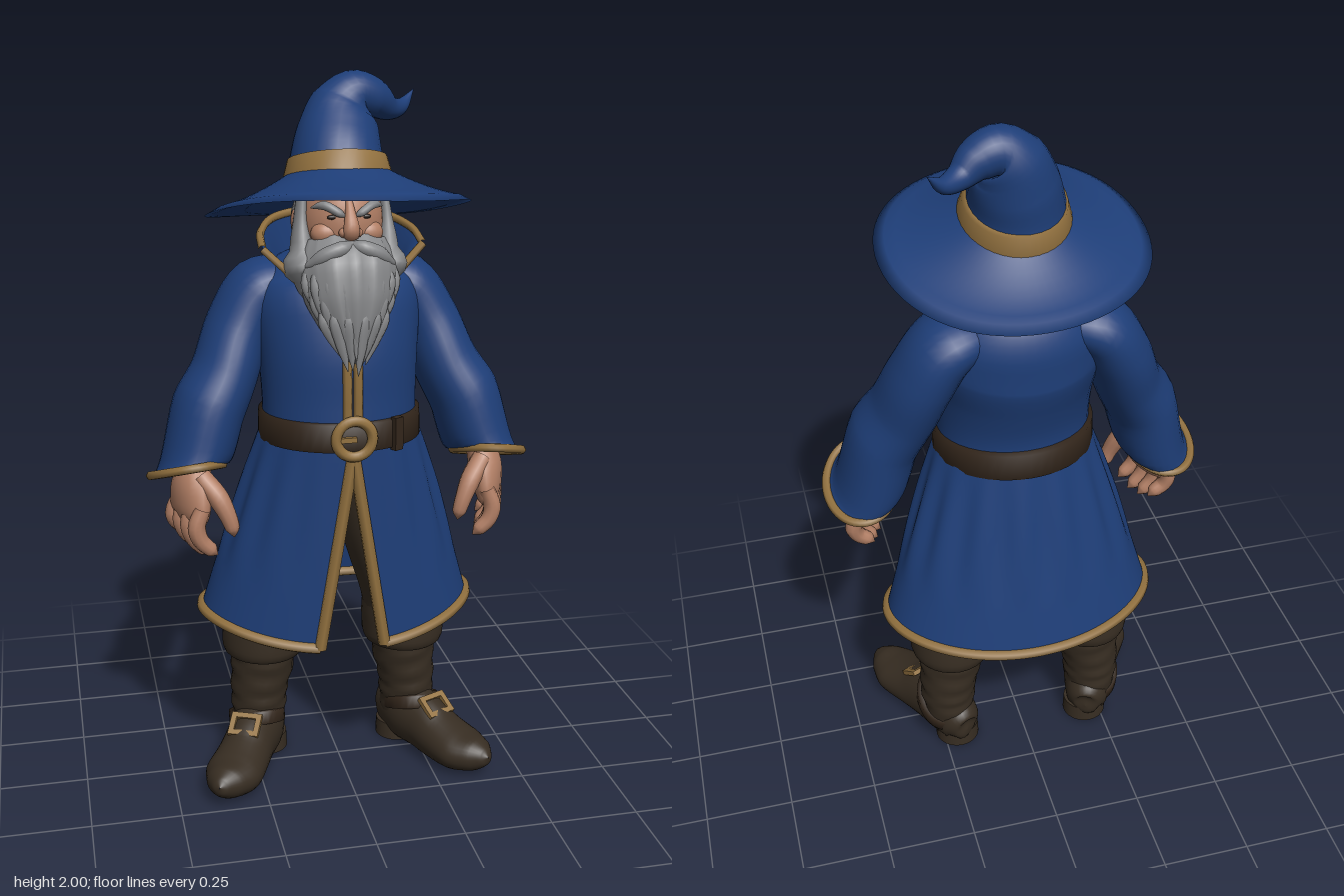
import * as THREE from 'three';
import { mergeVertices } from 'three/addons/utils/BufferGeometryUtils.js';

const V = (x, y, z) => new THREE.Vector3(x, y, z);
const lerp = THREE.MathUtils.lerp, smooth = THREE.MathUtils.smoothstep;
const Y = V(0, 1, 0), Z = V(0, 0, 1);

const mat = (name, color, side = THREE.FrontSide) => {
  const m = new THREE.MeshStandardMaterial({ color, side });
  m.name = name;
  return m;
};

export function createModel() {
  const model = new THREE.Group();
  model.name = 'wizard';
  const blue = mat('blue cloth', 0x1e3e78, THREE.DoubleSide);
  const gold = mat('gold trim', 0x92713f);
  const boot = mat('boot leather', 0x372d22);
  const leather = mat('belt leather', 0x33261b);
  const skin = mat('skin', 0xb27f65);
  const grey = mat('grey hair', 0x87888a);
  const dark = mat('dark eye', 0x241c18);

  const add = (name, geo, material) => {
    const mesh = new THREE.Mesh(geo, material);
    mesh.name = name;
    model.add(mesh);
    return mesh;
  };

  // Smooth surface from a function of (u around, v along)
  const surf = (f, nu, nv) => {
    const pos = [], idx = [];
    for (let j = 0; j <= nv; j++) for (let i = 0; i <= nu; i++) pos.push(...f(i / nu, j / nv).toArray());
    for (let j = 0; j < nv; j++) for (let i = 0; i < nu; i++) {
      const a = j * (nu + 1) + i, b = a + nu + 1;
      idx.push(a, b, a + 1, b, b + 1, a + 1);
    }
    let g = new THREE.BufferGeometry();
    g.setAttribute('position', new THREE.Float32BufferAttribute(pos, 3));
    g.setIndex(idx);
    g = mergeVertices(g, 1e-5);
    g.computeVertexNormals();
    return g;
  };

  // Elliptical sections [x, y, z, radiusA, radiusB] swept along a curve
  const sweep = (secs, ref = Z, warp = p => p) => {
    const c = new THREE.CatmullRomCurve3(secs.map(s => V(s[0], s[1], s[2])));
    const r = new THREE.CatmullRomCurve3(secs.map(s => V(s[3], s[4] ?? s[3], 0)));
    return (u, v) => {
      const T = c.getTangent(v), k = r.getPoint(v), a = u * Math.PI * 2;
      const B = ref.clone().addScaledVector(T, -ref.dot(T)).normalize();
      const A = T.clone().cross(B);
      const p = c.getPoint(v).addScaledVector(A, k.x * Math.cos(a)).addScaledVector(B, k.y * Math.sin(a));
      return warp(p, v, a);
    };
  };
  const limb = (name, secs, m, sides = 20, rows = 4, ref = Z, warp) =>
    add(name, surf(sweep(secs, ref, warp), sides, (secs.length - 1) * rows), m);
  const side = (secs, s) => secs.map(([x, ...rest]) => [x * s, ...rest]);

  // Rounded edging along a line of points
  const trim = (name, f, n = 40, r = 0.013, closed = false) => {
    const pts = Array.from({ length: closed ? n : n + 1 }, (_, i) => f(i / n));
    add(name, new THREE.TubeGeometry(new THREE.CatmullRomCurve3(pts, closed), n * 2, r, 6, closed), gold);
  };

  // Hat: curled crown, band, tilted brim
  limb('hatCrown', [[0, 1.70, -0.002, 0.147, 0.16], [0, 1.77, -0.022, 0.126, 0.138], [0.012, 1.84, -0.052, 0.112, 0.112],
    [0.03, 1.9, -0.075, 0.093, 0.084], [0.06, 1.937, -0.083, 0.065], [0.115, 1.925, -0.095, 0.054],
    [0.165, 1.897, -0.12, 0.034], [0.21, 1.898, -0.155, 0.022], [0.255, 1.94, -0.19, 0.001]], blue, 28, 5);
  limb('hatBand', [[0, 1.714, -0.007, 0.14, 0.15], [0, 1.715, -0.0073, 0.15, 0.164], [0.002, 1.775, -0.024, 0.133, 0.145],
    [0.002, 1.776, -0.0243, 0.12, 0.13]], gold, 40, 1);
  add('hatBrim', surf((u, v) => {
    const a = u * Math.PI * 2, t = 1 - Math.abs(2 * v - 1), s = Math.sin(a);
    const wave = 0.006 * Math.sin(3 * a + 1) * t;
    const y = lerp(1.65 + 0.073 * s, 1.735 + 0.036 * s, (1 - t) ** 1.6) + wave + (v > 0.5 ? 0.006 : -0.006);
    return V(lerp(0.13, 0.358, t) * Math.cos(a), y, lerp(-0.012, 0, t) + lerp(0.13, 0.345, t) * s);
  }, 64, 16), blue);

  // Head and face
  const ball = (name, m, x, y, z, rx, ry, rz) => {
    const b = add(name, new THREE.SphereGeometry(1, 24, 16), m);
    b.position.set(x, y, z);
    b.scale.set(rx, ry, rz);
  };
  ball('head', skin, 0, 1.62, 0.03, 0.115, 0.14, 0.12);
  ball('backHair', grey, 0, 1.61, -0.025, 0.125, 0.13, 0.11);
  limb('neck', [[0, 1.4, -0.04, 0.085], [0, 1.5, -0.02, 0.08], [0, 1.58, 0, 0.08]], skin);
  limb('nose', [[0, 1.69, 0.13, 0.008], [0, 1.655, 0.15, 0.014], [0, 1.615, 0.166, 0.022, 0.02],
    [0, 1.595, 0.162, 0.02, 0.014], [0, 1.588, 0.155, 0.001]], skin, 14);
  for (const s of [1, -1]) {
    ball('cheek', skin, s * 0.055, 1.597, 0.108, 0.042, 0.034, 0.034);
    ball('nostril', skin, s * 0.018, 1.605, 0.155, 0.014, 0.013, 0.015);
    ball('eye', dark, s * 0.045, 1.643, 0.136, 0.014, 0.006, 0.006);
    ball('ear', skin, s * 0.12, 1.62, 0.025, 0.014, 0.033, 0.022);
    limb('eyebrow', side([[0.012, 1.645, 0.15, 0.002], [0.03, 1.656, 0.152, 0.011], [0.065, 1.674, 0.135, 0.012],
      [0.095, 1.665, 0.105, 0.002]], s), grey, 10);
    limb('sideburn', side([[0.108, 1.71, 0.05, 0.012, 0.025], [0.115, 1.63, 0.06, 0.018, 0.032],
      [0.115, 1.55, 0.075, 0.032, 0.045], [0.108, 1.47, 0.095, 0.032, 0.045], [0.09, 1.39, 0.125, 0.001]], s), grey, 12);
    limb('moustache', side([[0, 1.573, 0.165, 0.012], [0.03, 1.567, 0.18, 0.021], [0.07, 1.55, 0.175, 0.022],
      [0.105, 1.525, 0.155, 0.014], [0.13, 1.515, 0.14, 0.001]], s), grey, 12);
  }

  // Beard: full core with overlapping tapered locks
  limb('beard', [[0, 1.575, 0.09, 0.105, 0.06], [0, 1.5, 0.125, 0.128, 0.098], [0, 1.43, 0.15, 0.118, 0.09],
    [0, 1.36, 0.17, 0.082, 0.068], [0, 1.3, 0.185, 0.042, 0.04], [0, 1.265, 0.195, 0.001]], grey, 48, 4, Z,
  (p, v, a) => p.add(V(Math.cos(a), 0, Math.sin(a)).multiplyScalar(0.005 * Math.cos(12 * a))));
  for (let row = 0; row < 3; row++) for (let i = 0; i < 8 - row; i++) {
    const k = (i - (7 - row) / 2) / 3.5, a = k * 1.3, y = 1.53 - row * 0.05;
    const tip = y - 0.14 - 0.045 * (1 - Math.abs(k)) - 0.015 * (i % 2);
    const at = (h, w, r) => [Math.sin(a) * w, h, 0.132 + (1.5 - h) * 0.25 + Math.cos(a) * w * 0.66, r, r * 0.65];
    limb('beardLock', [at(y, 0.1, 0.006), at(y - 0.05, 0.118 - row * 0.012, 0.02),
      at((y + tip) / 2 - 0.02, 0.106 - row * 0.02, 0.017), at(tip, 0.085 - row * 0.024, 0.001)], grey, 8);
  }

  // Coat body
  limb('coatBody', [[0, 1.03, 0.01, 0.215, 0.18], [0, 1.12, 0.01, 0.215, 0.177], [0, 1.25, -0.005, 0.222, 0.19],
    [0, 1.36, -0.035, 0.235, 0.193], [0, 1.44, -0.06, 0.222, 0.165], [0, 1.505, -0.065, 0.165, 0.125],
    [0, 1.53, -0.065, 0.1, 0.09]], blue, 40, 5);
  for (const s of [1, -1]) trim('frontTrim', t => V(s * 0.0145, lerp(1.03, 1.36, t),
    [0.19, 0.187, 0.187, 0.18, 0.158][Math.round(t * 4)]), 4);

  // Collar: flared and open at the front
  const mirrored = half => new THREE.CatmullRomCurve3([
    ...half.map(([x, y, z]) => V(-x, y, z)), ...half.slice(0, -1).reverse().map(p => V(...p))]);
  const low = mirrored([[0.085, 1.43, 0.115], [0.155, 1.475, 0], [0.12, 1.49, -0.13], [0, 1.5, -0.175]]);
  const high = mirrored([[0.218, 1.555, 0.07], [0.208, 1.585, -0.02], [0.145, 1.61, -0.13], [0, 1.62, -0.178]]);
  const collar = (u, v) => low.getPoint(u).lerp(high.getPoint(u), v);
  add('collar', surf(collar, 36, 6), blue);
  trim('collarTrim', t => collar(t, 1), 24, 0.011);
  for (const u of [0, 1]) trim('collarFrontTrim', t => collar(u, t), 6, 0.011);

  // Skirt: flared, pleated and split at the front
  const skirt = (u, v) => {
    const rx = lerp(0.213, 0.392, v ** 0.92), rz = lerp(0.185, 0.242, v);
    const gap = Math.asin(0.1 * Math.max(0, v - 0.08) / rx);
    const a = lerp(gap, Math.PI * 2 - gap, u), c = Math.cos(a);
    const fold = 1 + 0.025 * Math.sin(Math.PI * Math.min(1, v * 1.3)) * Math.sin(15 * a) * (1 - Math.max(0, c) ** 4);
    const hem = 0.503 - (c > 0 ? 0.062 : 0.035) * c * c;
    return V(rx * Math.sin(a) * fold, lerp(1.07, hem, v), lerp(0.01, -0.044, v) + rz * c * fold);
  };
  add('skirt', surf(skirt, 120, 16), blue);
  trim('hemTrim', t => skirt(t, 1), 60, 0.016);
  for (const u of [0, 1]) trim('skirtFrontTrim', t => skirt(u, lerp(0.1, 1, t)), 12, 0.018);

  // Belt with round buckle
  limb('belt', [[0, 1.02, 0.01, 0.2, 0.17], [0, 1.022, 0.01, 0.228, 0.199], [0, 1.098, 0.01, 0.226, 0.197],
    [0, 1.1, 0.01, 0.2, 0.17]], leather, 48, 1);
  add('beltBuckle', new THREE.TorusGeometry(0.05, 0.015, 8, 32), gold).position.set(0, 1.06, 0.21);
  const prong = add('bucklePin', new THREE.BoxGeometry(0.06, 0.014, 0.012), gold);
  prong.position.set(-0.025, 1.06, 0.214);
  const keeper = add('beltKeeper', new THREE.BoxGeometry(0.028, 0.092, 0.02), leather);
  keeper.position.set(0.125, 1.06, 0.179);
  keeper.rotation.y = 0.5;

  for (const s of [1, -1]) {
    // Sleeve widening to a slanted cuff
    const sleeve = [[0.1, 1.45, -0.07, 0.055, 0.085], [0.205, 1.42, -0.085, 0.085, 0.118], [0.268, 1.32, -0.07, 0.09, 0.12],
      [0.315, 1.2, -0.03, 0.093, 0.122], [0.375, 1.09, 0.002, 0.103, 0.13], [0.432, 0.95, 0.025, 0.106, 0.132]];
    const cuff = (p, v) => {
      const plane = 0.945 + 0.35 * (p.z - 0.03) - 0.1 * (s * p.x - 0.43);
      p.y = lerp(p.y, plane, smooth(v, 0.75, 1));
      return p;
    };
    const f = sweep(side(sleeve, s), Z, cuff);
    add('sleeve', surf(f, 28, 30), blue);
    trim('cuffTrim', t => f(t, 1), 28, 0.013, true);

    // Hand, its back turned a little forward
    limb('palm', side([[0.39, 1.04, 0.01, 0.045, 0.05], [0.412, 0.96, 0.03, 0.044, 0.055], [0.422, 0.9, 0.045, 0.048, 0.08],
      [0.428, 0.845, 0.052, 0.04, 0.09], [0.43, 0.81, 0.052, 0.026, 0.075], [0.43, 0.798, 0.052, 0.001]], s),
    skin, 18, 4, V(-s * 0.4, 0, 1));
    for (let i = 0; i < 4; i++) {
      const z = 0.122 - i * 0.045, d = [0.012, 0, 0.008, 0.03][i], x = 0.402 + i * 0.016;
      limb('finger', side([[x, 0.86, z, 0.022], [x + 0.018, 0.81, z + 0.004, 0.025], [x + 0.008, 0.765 + d / 2, z + 0.006, 0.023],
        [x - 0.02, 0.73 + d, z + 0.005, 0.02], [x - 0.038, 0.714 + d, z + 0.004, 0.001]], s), skin, 10);
    }
    limb('thumb', side([[0.4, 0.94, 0.08, 0.028], [0.36, 0.89, 0.11, 0.029], [0.335, 0.84, 0.125, 0.024],
      [0.322, 0.8, 0.128, 0.02], [0.318, 0.775, 0.128, 0.001]], s), skin, 10);

    // Trouser leg, boot shaft and folded boot top
    limb('trouserLeg', side([[0.09, 1, -0.03, 0.1, 0.12], [0.125, 0.75, -0.035, 0.115, 0.12],
      [0.195, 0.52, -0.06, 0.115, 0.125], [0.21, 0.42, -0.065, 0.112, 0.122]], s), boot, 24);
    limb('bootTop', side([[0.212, 0.342, -0.068, 0.085, 0.095], [0.212, 0.345, -0.068, 0.114, 0.124],
      [0.212, 0.375, -0.067, 0.122, 0.134], [0.208, 0.44, -0.064, 0.12, 0.13], [0.2, 0.51, -0.06, 0.11, 0.12]], s), boot, 28);
    limb('bootShaft', side([[0.212, 0.38, -0.068, 0.1, 0.108], [0.215, 0.31, -0.07, 0.094, 0.1],
      [0.226, 0.22, -0.073, 0.084, 0.094], [0.228, 0.15, -0.075, 0.08, 0.09], [0.224, 0.06, -0.08, 0.068, 0.08]], s),
    boot, 24, 6, Z, (p, v, a) => p.add(V(Math.cos(a), 0, Math.sin(a)).multiplyScalar(0.003 * Math.sin(v * 34))));

    // Foot turned outward: flat ball, raised pointed toe, heel block
    limb('foot', side([[0.19, 0.07, -0.165, 0.001], [0.193, 0.07, -0.16, 0.035, 0.045], [0.203, 0.08, -0.135, 0.062, 0.075],
      [0.235, 0.09, -0.05, 0.076, 0.1], [0.27, 0.08, 0.02, 0.074, 0.09], [0.3, 0.066, 0.08, 0.078, 0.074],
      [0.34, 0.058, 0.155, 0.083, 0.06], [0.372, 0.064, 0.21, 0.056, 0.046], [0.388, 0.07, 0.24, 0.024, 0.024],
      [0.393, 0.074, 0.252, 0.001]], s), boot, 28, 5, Y, (p, v) => {
      p.y = Math.max(p.y, 0.014 - 0.011 * smooth(v, 0.45, 0.6));
      return p;
    });
    add('heel', new THREE.CylinderGeometry(0.064, 0.066, 0.05, 24), boot).position.set(s * 0.207, 0.025, -0.095);

    // Strap low at the heel and high on the instep, with its buckle
    limb('bootStrap', side([[0.238, 0.108, -0.05, 0.066, 0.09], [0.238, 0.109, -0.0504, 0.083, 0.112],
      [0.238, 0.142, -0.062, 0.083, 0.106], [0.238, 0.143, -0.0624, 0.066, 0.09]], s), leather, 28, 1);
    const rect = (w, h) => [[-w, -h], [w, -h], [w, h], [-w, h]].map(p => new THREE.Vector2(...p));
    const frame = new THREE.Shape(rect(0.045, 0.036));
    frame.holes.push(new THREE.Path(rect(0.029, 0.02).reverse()));
    const buckle = add('bootBuckle', new THREE.ExtrudeGeometry(frame, { depth: 0.014, bevelEnabled: false }), gold);
    buckle.position.set(s * 0.288, 0.148, 0.05);
    buckle.rotation.set(-0.98, s * 0.42, 0, 'YXZ');
  }
  return model;
}
